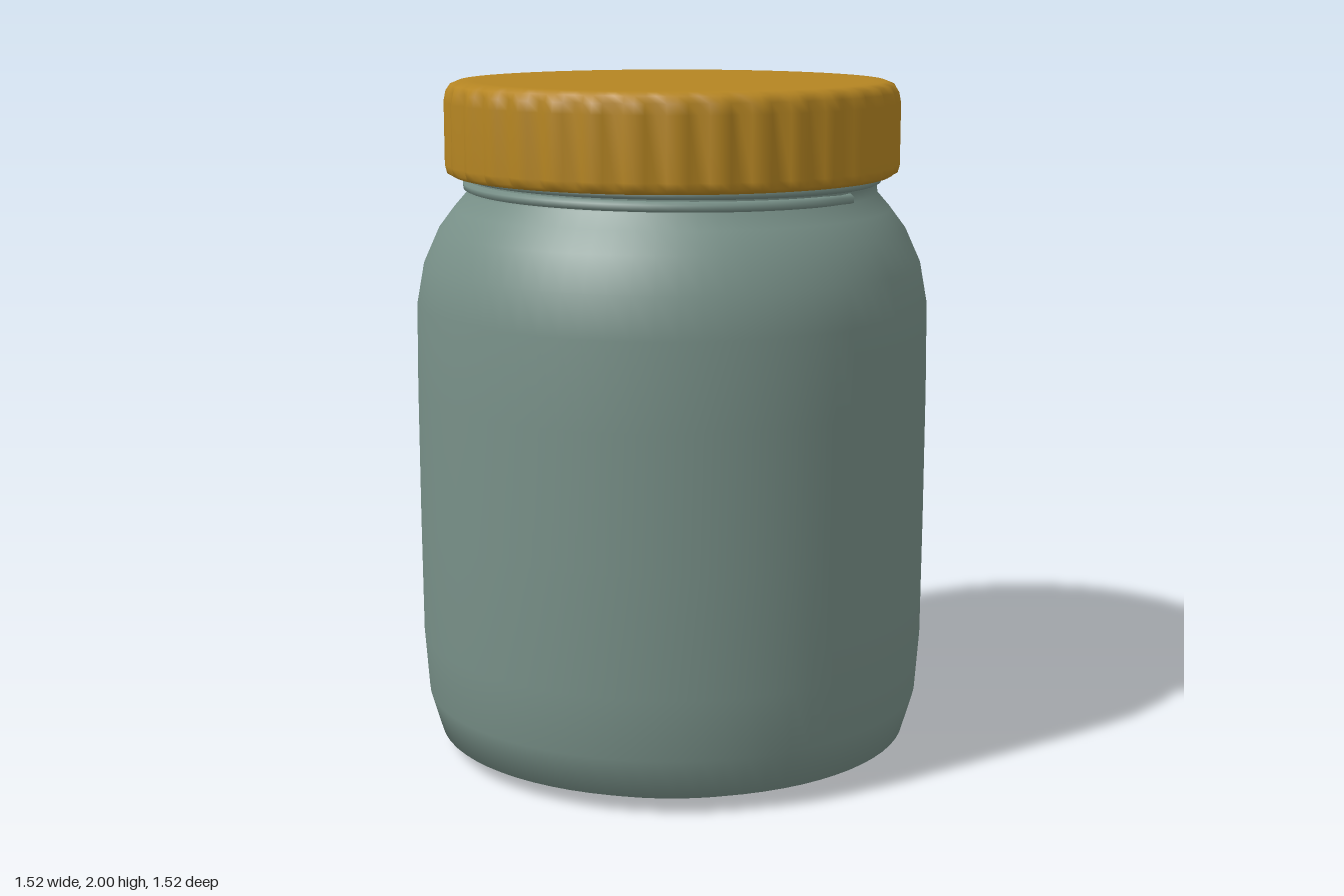
import * as THREE from 'three';
import { mergeVertices } from 'three/addons/utils/BufferGeometryUtils.js';

const glass = new THREE.MeshStandardMaterial({ color: 0x789088 });
glass.name = 'grey green glass';
const amber = new THREE.MeshStandardMaterial({ color: 0xb58522 });
amber.name = 'amber lid';

const profile = (pairs) => pairs.map(([r, y]) => new THREE.Vector2(r, y));

function addMesh(group, name, geometry, material) {
  const mesh = new THREE.Mesh(geometry, material);
  mesh.name = name;
  group.add(mesh);
}

// Lathe whose side wall is pressed into repeated vertical ridges
function makeLid() {
  const ridges = 36, steps = 4, depth = 0.02;
  const press = [1, 0.25, 0, 0.25];
  const points = profile([
    [0.585, 1.76], [0.59, 1.732], [0.645, 1.728], [0.664, 1.738], [0.67, 1.76],
    [0.67, 1.94], [0.664, 1.97], [0.65, 1.99], [0.625, 2], [0.58, 2], [0, 2],
  ]);
  const geometry = new THREE.LatheGeometry(points, ridges * steps);
  const pos = geometry.attributes.position;
  for (let i = 0; i < pos.count; i++) {
    const step = Math.floor(i / points.length) % steps;
    const r = Math.hypot(pos.getX(i), pos.getZ(i));
    if (r < 0.655) continue;
    const scale = (r - depth * press[step]) / r;
    pos.setX(i, pos.getX(i) * scale);
    pos.setZ(i, pos.getZ(i) * scale);
  }
  // Weld the seam so the ridges shade smoothly all round
  geometry.deleteAttribute('uv');
  geometry.deleteAttribute('normal');
  const welded = mergeVertices(geometry, 1e-4);
  welded.computeVertexNormals();
  return welded;
}

export function createModel() {
  const model = new THREE.Group();
  model.name = 'jar';

  // Jar body, from the base centre up to the neck hidden in the lid
  const body = profile([
    [0, 0], [0.5, 0], [0.6, 0.005], [0.71, 0.05], [0.745, 0.17], [0.758, 0.35],
    [0.76, 0.7], [0.76, 1.1], [0.757, 1.35], [0.735, 1.47], [0.69, 1.57],
    [0.645, 1.63], [0.606, 1.675], [0.603, 1.7], [0.603, 1.85],
  ]);
  addMesh(model, 'jarBody', new THREE.LatheGeometry(body, 72), glass);

  // Screw thread winding down the neck
  const turns = 2;
  const path = [];
  for (let i = 0; i <= 48; i++) {
    const t = i / 48, a = t * turns * Math.PI * 2;
    path.push(new THREE.Vector3(0.602 * Math.cos(a), 1.755 - 0.07 * t, -0.602 * Math.sin(a)));
  }
  const thread = new THREE.TubeGeometry(new THREE.CatmullRomCurve3(path), 144, 0.016, 6);
  addMesh(model, 'neckThread', thread, glass);

  addMesh(model, 'lid', makeLid(), amber);
  return model;
}
